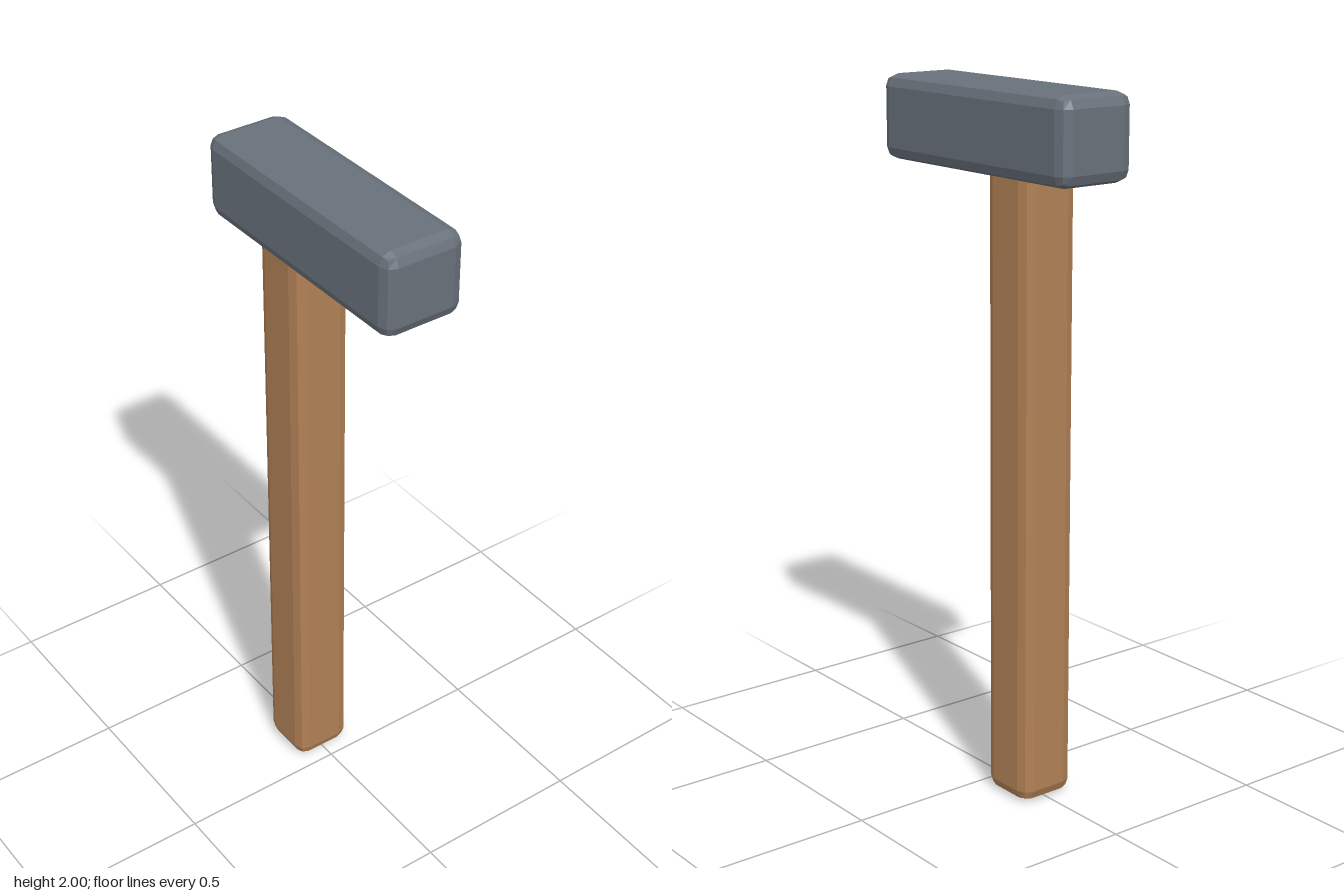
import * as THREE from 'three';
import { RoundedBoxGeometry } from 'three/addons/geometries/RoundedBoxGeometry.js';

// Box with a two-facet bevel, placed by its centre in x and its bottom in y
function bevelledBox(name, color, [w, h, d], radius, x, bottom) {
  const mesh = new THREE.Mesh(
    new RoundedBoxGeometry(w, h, d, 1, radius),
    new THREE.MeshStandardMaterial({ color, flatShading: true })
  );
  mesh.name = name;
  mesh.position.set(x, bottom + h / 2, 0);
  return mesh;
}

export function createModel() {
  const group = new THREE.Group();
  group.name = 'hammer';

  // Wooden handle, set off-centre and let into the head
  group.add(bevelledBox('handle', 0xb08055, [0.176, 1.85, 0.176], 0.034, -0.122, 0));

  // Steel head
  group.add(bevelledBox('head', 0x68707a, [0.786, 0.236, 0.24], 0.034, 0, 1.764));

  return group;
}
